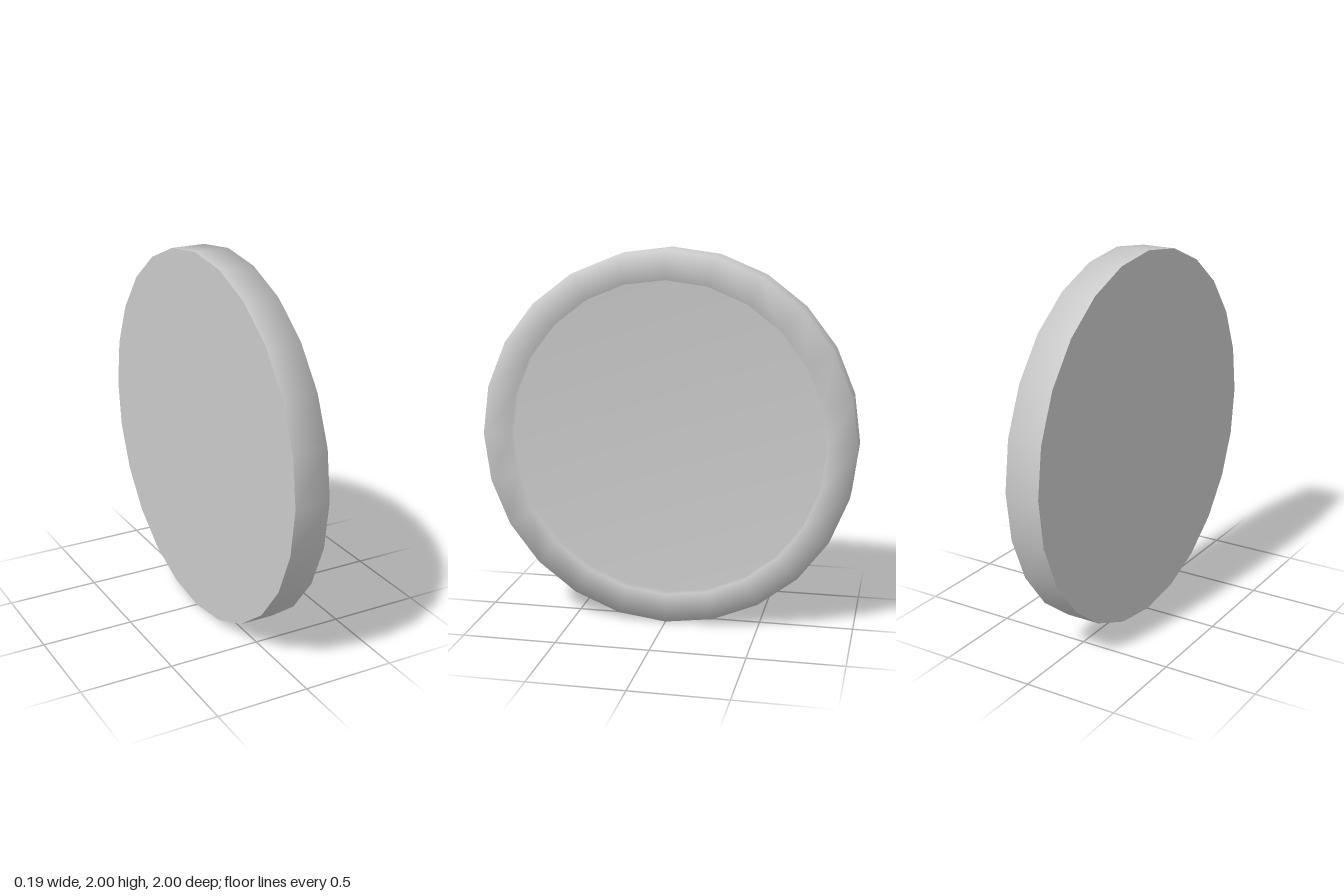
import * as THREE from 'three';

const SIDES = 24;
const HALF = 0.094; // half thickness along x

export function createModel() {
  const model = new THREE.Group();
  model.name = 'dish';
  const material = new THREE.MeshStandardMaterial({ color: 0xcccccc });

  // Turned about the x axis, so the hollow faces +x
  const add = (name, profile) => {
    const points = profile.map(([r, x]) => new THREE.Vector2(r, x));
    const geometry = new THREE.LatheGeometry(points, SIDES);
    geometry.rotateZ(-Math.PI / 2);
    const mesh = new THREE.Mesh(geometry, material);
    mesh.name = name;
    mesh.position.y = 1;
    model.add(mesh);
  };

  // Outer wall, raised rim, inner step and recessed floor, shaded softly as one skin
  add('rimAndFloor', [[1, -HALF], [1, HALF], [0.845, HALF], [0.845, 0.04], [0, 0.04]]);
  // Flat back, with a sharp edge
  add('back', [[0, -HALF], [1, -HALF]]);

  return model;
}
